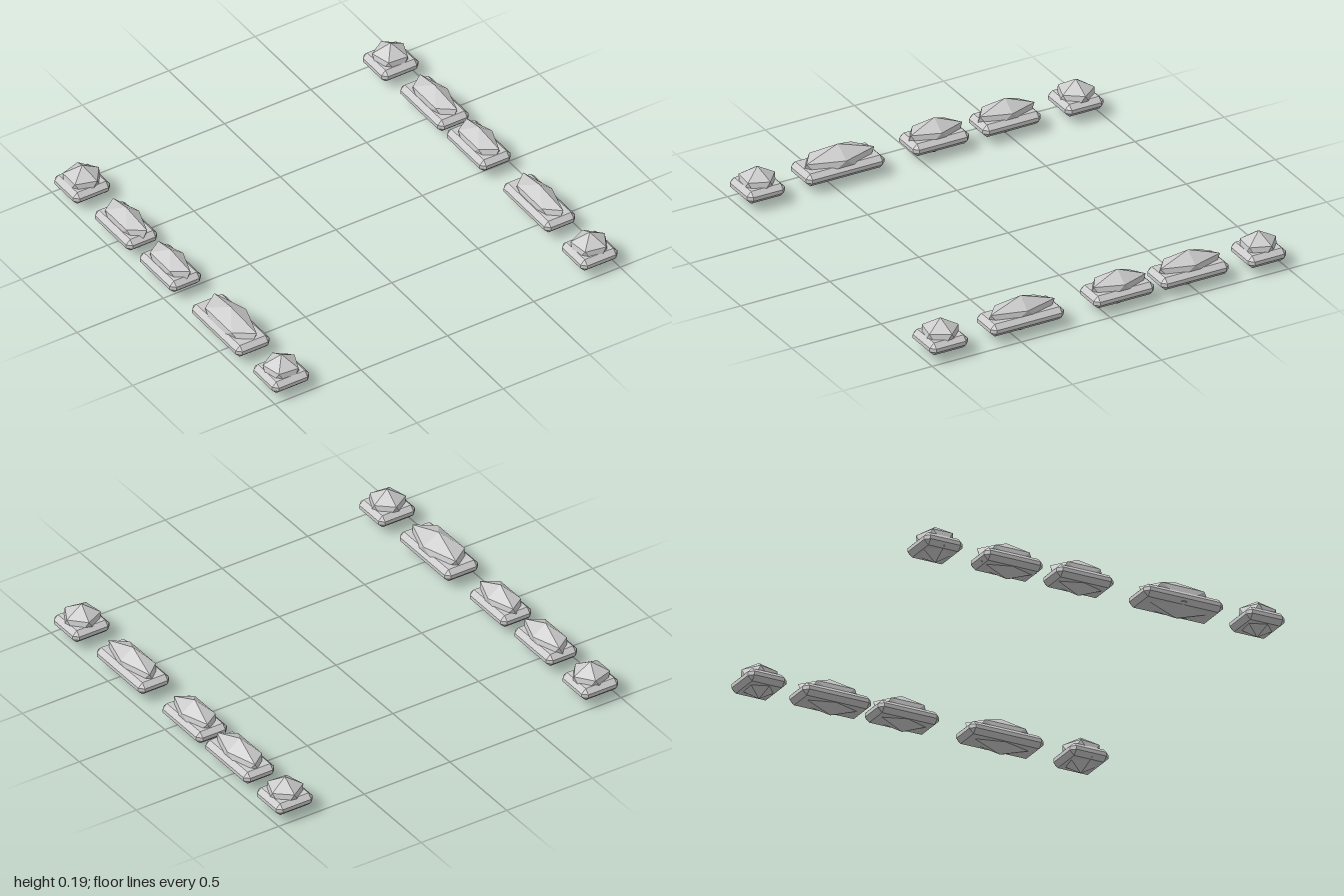
import * as THREE from 'three';
import { ConvexGeometry } from 'three/addons/geometries/ConvexGeometry.js';

const stone = new THREE.MeshStandardMaterial({ color: 0xcccccc, flatShading: true });

// Box with every edge and corner cut by one flat bevel
function bevelledPlate(hx, hy, hz, c) {
  const points = [];
  for (const sx of [-1, 1]) for (const sy of [-1, 1]) for (const sz of [-1, 1]) {
    points.push(
      new THREE.Vector3(sx * hx, sy * (hy - c), sz * (hz - c)),
      new THREE.Vector3(sx * (hx - c), sy * hy, sz * (hz - c)),
      new THREE.Vector3(sx * (hx - c), sy * (hy - c), sz * hz));
  }
  return new ConvexGeometry(points);
}

// Icosahedron standing on a vertex, turned, then stretched to the given radii
function gemGeometry(rx, ry, rz, turn) {
  const geometry = new THREE.IcosahedronGeometry(1, 0);
  geometry.rotateZ(-Math.atan(2 / (1 + Math.sqrt(5))));
  geometry.rotateY(turn);
  geometry.scale(rx, ry, rz);
  return geometry;
}

// x, z, plate half width, plate half length, gem radius x, gem radius z, gem turn
const SETTINGS = [
  ['leftBack', 0.893, -0.893, 0.107, 0.107, 0.102, 0.105, 0.25],
  ['leftRearLong', 0.892, -0.497, 0.09, 0.19, 0.083, 0.196, 0],
  ['leftMiddle', 0.892, -0.1, 0.09, 0.17, 0.085, 0.172, 0],
  ['leftFrontLong', 0.892, 0.443, 0.09, 0.206, 0.08, 0.212, 0],
  ['leftFront', 0.893, 0.893, 0.107, 0.107, 0.106, 0.105, 0.13],
  ['rightBack', -0.893, -0.893, 0.107, 0.107, 0.108, 0.105, 0],
  ['rightRearLong', -0.895, -0.497, 0.09, 0.163, 0.083, 0.18, 0],
  ['rightMiddle', -0.895, -0.1, 0.09, 0.158, 0.083, 0.17, 0],
  ['rightFrontLong', -0.895, 0.442, 0.098, 0.22, 0.1, 0.224, 0],
  ['rightFront', -0.893, 0.893, 0.107, 0.107, 0.103, 0.105, 0.23],
];

export function createModel() {
  const model = new THREE.Group();
  model.name = 'gemRows';
  for (const [name, x, z, hx, hz, rx, rz, turn] of SETTINGS) {
    const setting = new THREE.Group();
    setting.name = name + 'Setting';
    setting.position.set(x, 0, z);

    // Thin bevelled mount
    const plate = new THREE.Mesh(bevelledPlate(hx, 0.034, hz, 0.024), stone);
    plate.name = 'plate';
    plate.position.y = 0.084;

    // Faceted stone passing through the mount
    const gem = new THREE.Mesh(gemGeometry(rx, 0.096, rz, turn), stone);
    gem.name = 'gem';
    gem.position.y = 0.102;

    setting.add(plate, gem);
    model.add(setting);
  }
  return model;
}
